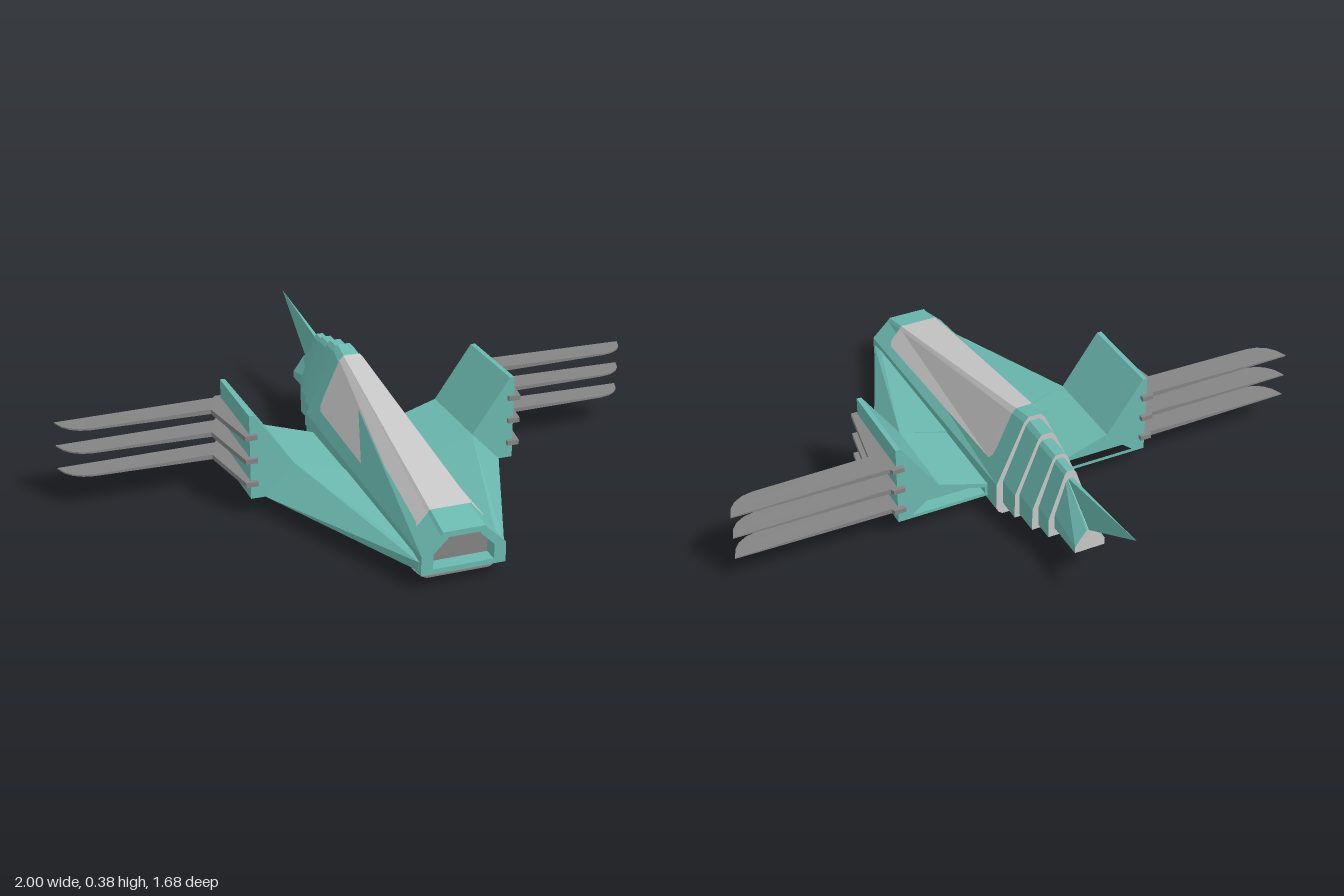
import * as THREE from 'three';
import { ConvexGeometry } from 'three/addons/geometries/ConvexGeometry.js';

const paint = (name, color) => Object.assign(new THREE.MeshStandardMaterial({ color }), { name });
const lerp = THREE.MathUtils.lerp;

// Skin between rings of [x, y, z] points, ordered back to front
function loft(rings, { open = false, front = false, back = false } = {}) {
  const n = rings[0].length, pos = [];
  const tri = (a, b, c) => pos.push(...a, ...b, ...c);
  for (let i = 0; i < rings.length - 1; i++) {
    for (let j = 0; j < (open ? n - 1 : n); j++) {
      const k = (j + 1) % n;
      const a = rings[i][j], b = rings[i][k], c = rings[i + 1][k], d = rings[i + 1][j];
      tri(a, b, c);
      tri(a, c, d);
    }
  }
  const first = rings[0], last = rings[rings.length - 1];
  for (let j = 1; j < n - 1; j++) {
    if (front) tri(last[0], last[j], last[j + 1]);
    if (back) tri(first[0], first[j + 1], first[j]);
  }
  const g = new THREE.BufferGeometry();
  g.setAttribute('position', new THREE.Float32BufferAttribute(pos, 3));
  g.computeVertexNormals();
  return g;
}

// Flat face over one ring
const cap = (ring, facesFront) => loft([ring], { front: facesFront, back: !facesFront });

// Mirror the right half of a section so it runs counterclockwise
const mirrored = half => [...half, ...half.slice().reverse().map(([x, y, z]) => [-x, y, z])];

// Half of the hull section at z
const FRONT = 0.84, REAR = -0.185;
function hullHalf(z) {
  const t = (FRONT - z) / (FRONT - REAR);
  return [
    [0.135, 0.05, z],
    [0.135, lerp(0.115, 0.148, t), z],
    [lerp(0.075, 0.037, t), lerp(0.172, 0.365, t), z],
    [lerp(0.068, 0.022, t), lerp(0.182, 0.382, t), z],
  ];
}

export function createModel() {
  const teal = paint('teal', 0x6bb9b0);
  const light = paint('lightGrey', 0xc8c8c8);
  const dark = paint('darkGrey', 0x848484);
  const model = new THREE.Group();
  const add = (name, geometry, material, parent = model) => {
    const m = new THREE.Mesh(geometry, material);
    m.name = name;
    parent.add(m);
    return m;
  };

  // Hull with a recessed nose opening
  const rear = mirrored(hullHalf(REAR)), nose = mirrored(hullHalf(FRONT));
  const inset = z => nose.map(([x, y]) => [x * 0.72, 0.113 + (y - 0.113) * 0.74, z]);
  add('hull', loft([rear, nose, inset(FRONT), inset(0.79)]), teal);
  add('hullRear', cap(rear, false), light);
  add('noseWindow', cap(inset(0.79), true), dark);

  // Canopy skin with rounded corners, just above the hull
  const canopyRows = [[-0.11, 0.095], [-0.105, 0.108], [-0.09, 0.115], [0.715, 0.115], [0.73, 0.108], [0.735, 0.095]];
  add('canopy', loft(canopyRows.map(([z, x]) => {
    const [, low, high, top] = hullHalf(z);
    const s = (low[0] - x) / (low[0] - high[0]);
    const edge = [x, lerp(low[1], high[1], s), z];
    return mirrored([edge, high, top].map(p => [p[0] + 0.003, p[1] + 0.004, z]));
  }), { open: true }), light);

  // Keel with chamfered bottom and upswept front
  const keelRows = [[-0.155, 0], [0.73, 0], [0.77, 0.006], [0.8, 0.018], [0.818, 0.033], [0.825, 0.043]];
  add('keel', loft(keelRows.map(([z, y]) => mirrored([
    [0.1, y, z], [0.115, Math.min(y + 0.012, 0.05), z], [0.115, 0.052, z],
  ])), { front: true, back: true }), light);

  // Stepped tail: front z, back z, half width, bottom, top at front, top at back
  const steps = [
    [-0.185, -0.27, 0.112, 0.068, 0.366, 0.366],
    [-0.27, -0.36, 0.095, 0.077, 0.345, 0.345],
    [-0.36, -0.43, 0.073, 0.09, 0.33, 0.33],
    [-0.43, -0.567, 0.052, 0.12, 0.3, 0.2],
  ];
  steps.forEach(([z0, z1, w, bottom, top0, top1], i) => {
    const ring = (z, top) => rear.map(([x, y]) =>
      [x * w / 0.135, lerp(bottom, top, (y - 0.05) / 0.332), z]);
    add('tailStep' + (i + 1), loft([ring(z1, top1), ring(z0 + 0.005, top0)]), teal);
    add('tailStepRear' + (i + 1), cap(ring(z1, top1), false), light);
  });

  // Thin pointed tail fin
  const v = (x, y, z) => new THREE.Vector3(x, y, z);
  add('tailFin', new ConvexGeometry([
    v(-0.007, 0.3, -0.42), v(0.007, 0.3, -0.42), v(-0.007, 0.195, -0.565), v(0.007, 0.195, -0.565),
    v(0, 0.352, -0.84),
  ]), teal);

  for (const side of [1, -1]) {
    const wing = new THREE.Group();
    wing.name = side > 0 ? 'leftWing' : 'rightWing';
    model.add(wing);
    const points = list => list.map(([x, y]) => new THREE.Vector2(side * x, y));
    const slab = (shape, z0, z1) => new THREE.ExtrudeGeometry(shape, { depth: z1 - z0, bevelEnabled: false })
      .translate(0, 0, z0);

    // Upturned wing, hollowed at the rear
    const outline = points([[0.12, 0.06], [0.452, 0.06], [0.452, 0.345], [0.436, 0.345], [0.307, 0.162], [0.12, 0.102]]);
    add('wingMain', slab(new THREE.Shape(outline), -0.07, 0.2), teal, wing);
    const rim = new THREE.Shape(outline);
    rim.holes.push(new THREE.Path(points([[0.145, 0.072], [0.405, 0.072], [0.31, 0.146], [0.145, 0.095]])));
    add('wingRearRim', slab(rim, -0.117, -0.07), teal, wing);

    // Swept leading part
    add('wingLeadingEdge', new ConvexGeometry([
      [0.12, 0.06, 0.2], [0.405, 0.06, 0.2], [0.307, 0.162, 0.2], [0.12, 0.106, 0.2],
      [0.12, 0.06, 0.82], [0.137, 0.06, 0.82], [0.137, 0.09, 0.825], [0.12, 0.095, 0.82],
    ].map(([x, y, z]) => v(side * x, y, z))), teal, wing);

    // Three blades clipped around the wing tip, thinning outward
    const blade = new THREE.Shape(points([
      [0.43, 0.213], [0.47, 0.213], [0.51, -0.03], [0.99, -0.03], [0.99, -0.03], [1, -0.12],
      [0.51, -0.12], [0.475, -0.12], [0.47, -0.133], [0.43, -0.133],
    ].flatMap(([x, z], i) => {
      if (i === 4) return [];
      if (i !== 3) return [[x, -z]];
      return [[0.9, 0.03], [0.935, 0.037], [0.965, 0.055], [0.985, 0.08]];
    })));
    for (const y of [0.115, 0.195, 0.275]) {
      const g = new THREE.ExtrudeGeometry(blade, { depth: 0.016, bevelEnabled: false })
        .translate(0, 0, -0.008).rotateX(-Math.PI / 2);
      const p = g.attributes.position;
      for (let i = 0; i < p.count; i++) {
        const out = Math.max(0, (Math.abs(p.getX(i)) - 0.51) / 0.49);
        p.setY(i, p.getY(i) * (1 - 0.75 * out));
      }
      g.computeVertexNormals();
      add('blade', g.translate(0, y, 0), dark, wing);
    }
  }
  return model;
}
